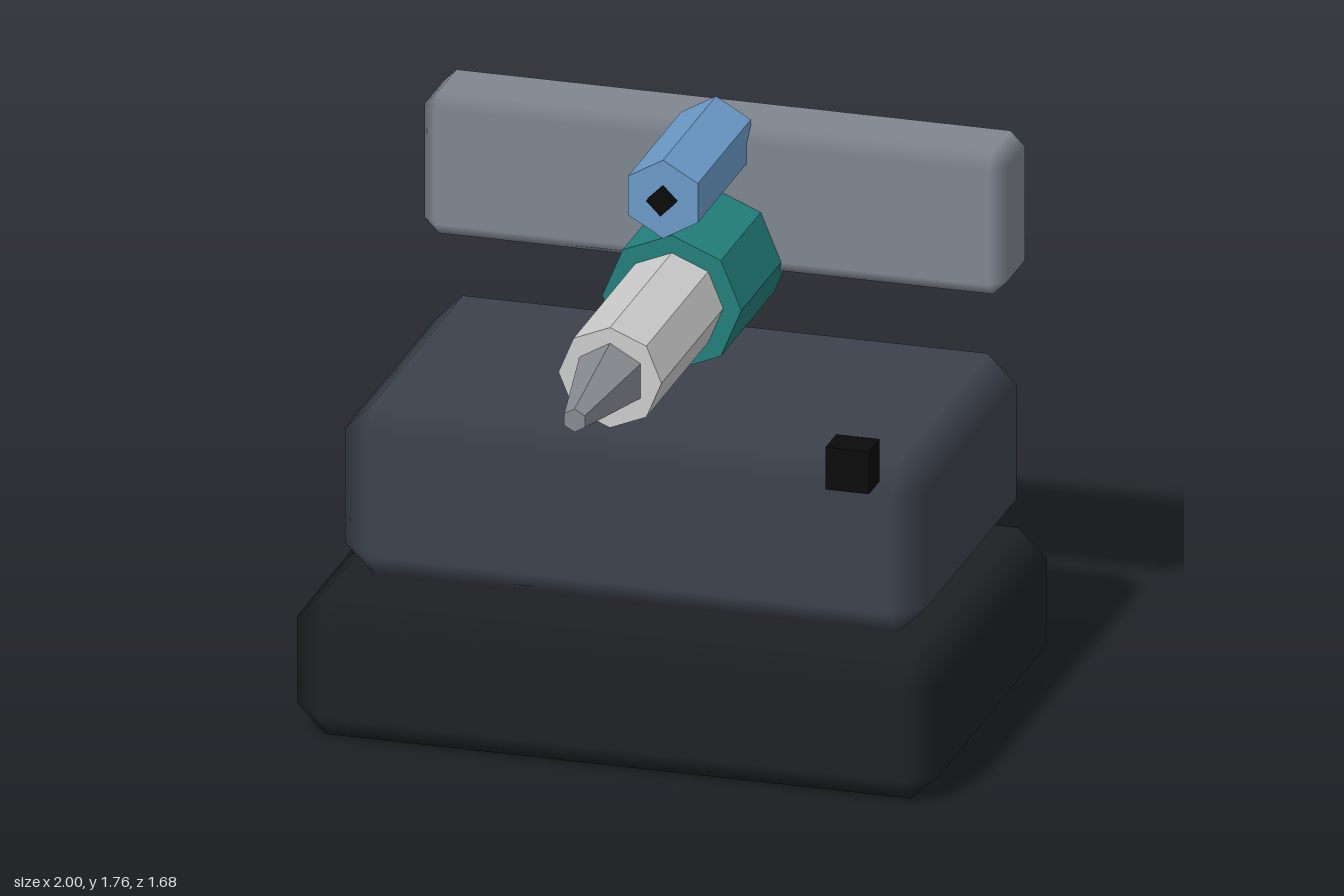
import * as THREE from 'three';
import { ConvexGeometry } from 'three/addons/geometries/ConvexGeometry.js';

const mat = (color, flatShading = false) => new THREE.MeshStandardMaterial({ color, flatShading });

// Box with chamfered edges and corners; flat faces shade softly into the chamfers
function chamferBox(name, color, [x0, x1], [y0, y1], [z0, z1], c) {
  const half = [(x1 - x0) / 2, (y1 - y0) / 2, (z1 - z0) / 2];
  const points = [];
  for (const sx of [-1, 1]) for (const sy of [-1, 1]) for (const sz of [-1, 1]) {
    const s = [sx, sy, sz];
    for (let axis = 0; axis < 3; axis++) {
      points.push(new THREE.Vector3(...half.map((h, i) => s[i] * (i === axis ? h : h - c))));
    }
  }
  const geo = new ConvexGeometry(points);
  const pos = geo.attributes.position, normal = geo.attributes.normal;
  for (let i = 0; i < pos.count; i++) {
    const p = [pos.getX(i), pos.getY(i), pos.getZ(i)];
    normal.setXYZ(i, ...p.map((v, k) => (Math.abs(v) > half[k] - c * 0.5 ? Math.sign(v) : 0)));
  }
  const mesh = new THREE.Mesh(geo, mat(color));
  mesh.name = name;
  mesh.position.set((x0 + x1) / 2, (y0 + y1) / 2, (z0 + z1) / 2);
  return mesh;
}

// Faceted prism or cone lying along z, with a corner pointing up
function prism(name, color, sides, y, zBack, zFront, rBack, rFront = rBack) {
  const geo = new THREE.CylinderGeometry(rFront, rBack, zFront - zBack, sides);
  geo.rotateX(Math.PI / 2);
  const mesh = new THREE.Mesh(geo, mat(color, true));
  mesh.name = name;
  mesh.position.set(0, y, (zBack + zFront) / 2);
  return mesh;
}

export function createModel() {
  const model = new THREE.Group();
  model.name = 'mountedEmitter';

  // Stacked housing and rear crossbar
  model.add(
    chamferBox('base', 0x1f2023, [-1, 1], [0, 0.455], [-0.8, 0.475], 0.09),
    chamferBox('upperHousing', 0x3c414b, [-0.905, 0.905], [0.455, 1.0], [-0.8, 0.295], 0.09),
    chamferBox('rearCrossbar', 0x7f868f, [-0.905, 0.905], [1.23, 1.685], [-0.84, -0.57], 0.045),
  );

  // Barrel with collar and tapered nozzle
  model.add(
    prism('barrel', 0xcccccc, 8, 1.275, -0.8, 0.475, 0.16),
    prism('collar', 0x237f7c, 8, 1.275, -0.71, -0.16, 0.216),
    prism('nozzle', 0x868a90, 6, 1.275, 0.475, 0.84, 0.11, 0.037),
  );

  // Sight with its small lens
  model.add(
    prism('sight', 0x6b9ac8, 6, 1.64, -0.615, -0.07, 0.125),
    prism('sightLens', 0x0a0a0a, 4, 1.64, -0.12, -0.043, 0.045),
  );

  // Small block above the front edge
  const block = new THREE.Mesh(new THREE.BoxGeometry(0.135, 0.135, 0.11), mat(0x0a0a0a));
  block.name = 'frontBlock';
  block.position.set(0.727, 1.048, 0.387);
  model.add(block);

  return model;
}
